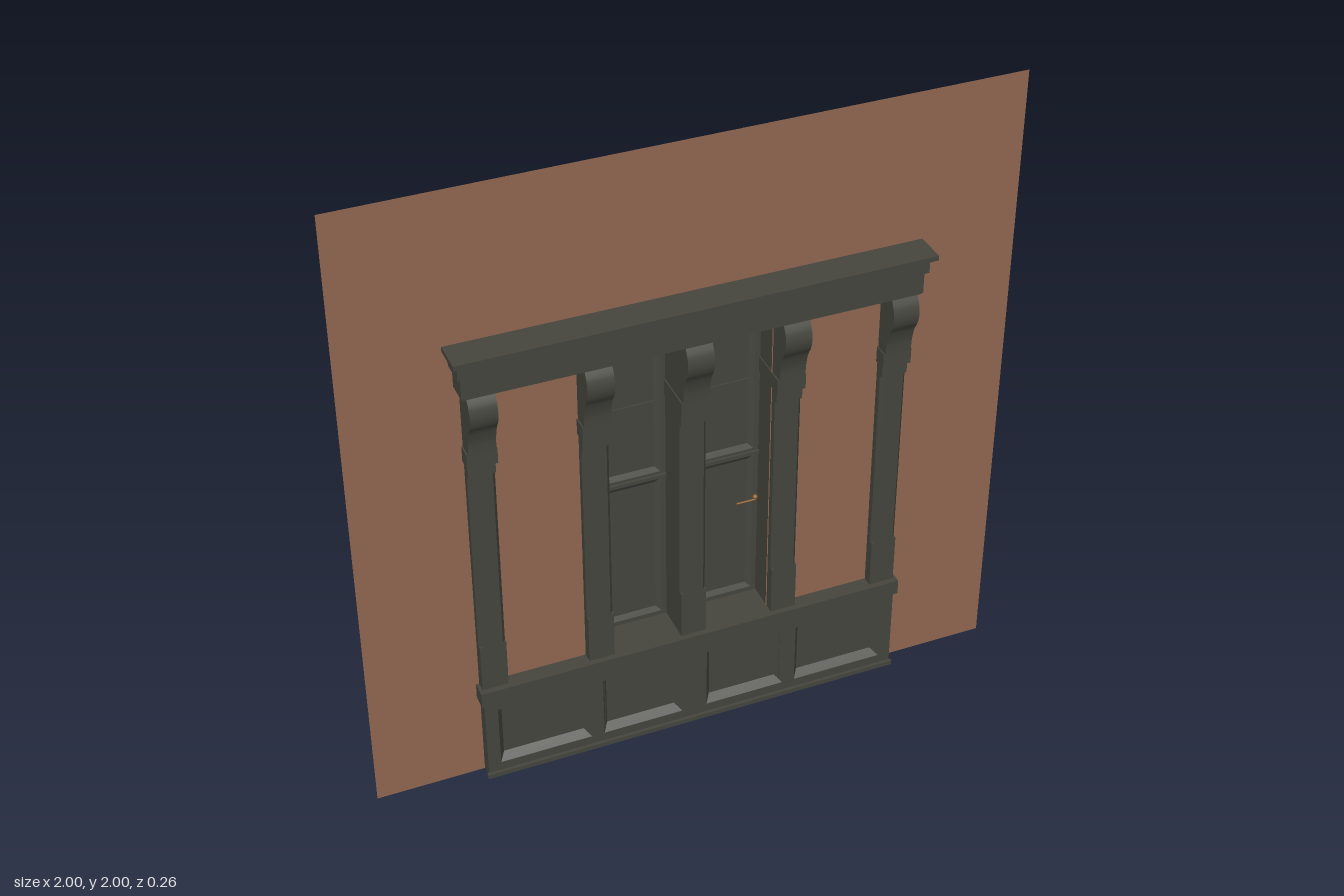
import * as THREE from 'three';

const WALL_Z = 0.03, BACK = -0.127;

export function createModel() {
  const root = new THREE.Group();
  const paint = new THREE.MeshStandardMaterial({ color: 0x46463f, side: THREE.DoubleSide });
  paint.name = 'dark grey paint';
  const brick = new THREE.MeshStandardMaterial({ color: 0x926852, side: THREE.DoubleSide });
  brick.name = 'brown wall';
  const brass = new THREE.MeshStandardMaterial({ color: 0x8f5f30 });
  brass.name = 'brass';

  function add(name, geo, mat = paint, parent = root) {
    const m = new THREE.Mesh(geo, mat);
    m.name = name;
    parent.add(m);
    return m;
  }
  // Box from its limits
  function box(name, x0, x1, y0, y1, z0, z1, parent = root, mat = paint) {
    const m = add(name, new THREE.BoxGeometry(x1 - x0, y1 - y0, z1 - z0), mat, parent);
    m.position.set((x0 + x1) / 2, (y0 + y1) / 2, (z0 + z1) / 2);
    return m;
  }
  const rect = (C, x0, x1, y0, y1) => new C([[x0, y0], [x1, y0], [x1, y1], [x0, y1]]
    .map(p => new THREE.Vector2(p[0], p[1])));
  // Flat board with rectangular openings
  function board(name, r, holes, z, depth, parent = root) {
    const s = rect(THREE.Shape, ...r);
    holes.forEach(h => s.holes.push(rect(THREE.Path, ...h)));
    const m = add(name, new THREE.ExtrudeGeometry(s, { depth, bevelEnabled: false }), paint, parent);
    m.position.z = z;
    return m;
  }
  // Sunk panel: sloped border running back to a flat field
  function sunkPanel(name, [x0, x1, y0, y1], inset, zOut, zIn, parent = root) {
    const ring = (i, z) => [[x0 + i, y0 + i, z], [x1 - i, y0 + i, z], [x1 - i, y1 - i, z], [x0 + i, y1 - i, z]];
    const a = ring(0, zOut), b = ring(inset, zIn), pos = [];
    const quad = (p, q, r, s) => pos.push(...p, ...q, ...r, ...p, ...r, ...s);
    for (let i = 0; i < 4; i++) quad(a[i], a[(i + 1) % 4], b[(i + 1) % 4], b[i]);
    quad(...b);
    const g = new THREE.BufferGeometry();
    g.setAttribute('position', new THREE.Float32BufferAttribute(pos, 3));
    g.computeVertexNormals();
    add(name, g, paint, parent);
  }

  // Wall sheet with the doorway cut out
  const wallShape = rect(THREE.Shape, -1, 1, 0, 2);
  wallShape.holes.push(rect(THREE.Path, -0.25, 0.25, 0.002, 1.4));
  add('wall', new THREE.ShapeGeometry(wallShape), brick).position.z = WALL_Z;

  // Base with four sunk panels
  const base = new THREE.Group();
  base.name = 'base';
  root.add(base);
  const basePanels = [[-0.625, -0.335, 0.045, 0.255], [-0.295, -0.04, 0.045, 0.255],
    [0.04, 0.295, 0.045, 0.255], [0.335, 0.625, 0.045, 0.255]];
  board('baseBoard', [-0.665, 0.665, 0, 0.29], basePanels, 0.05, 0.02, base);
  basePanels.forEach(p => sunkPanel('basePanel', p, 0.018, 0.07, 0.045, base));
  box('bottomPlate', -0.665, 0.665, 0, 0.006, -0.115, 0.07, base);
  box('skirting', -0.67, 0.67, 0, 0.015, 0.07, 0.08, base);
  for (const s of [-1, 1]) {
    box('baseEnd', s * 0.6625 - 0.0025, s * 0.6625 + 0.0025, 0, 0.29, -0.115, 0.06, base);
    box('basePartition', s * 0.29 - 0.004, s * 0.29 + 0.004, 0, 0.29, -0.115, 0.06, base);
  }

  // Sill: front rail, top shelf and end returns, open below at the back
  box('sillRail', -0.675, 0.675, 0.29, 0.34, 0.04, 0.08);
  box('sillShelf', -0.67, 0.67, 0.33, 0.34, BACK, 0.05);
  for (const s of [-1, 1])
    box('sillEnd', s * 0.67 - 0.005, s * 0.67 + 0.005, 0.29, 0.34, BACK, 0.05);

  // Scrolled bracket profile, drawn as (z, y)
  const scroll = new THREE.Shape();
  scroll.moveTo(WALL_Z, 1.2);
  scroll.lineTo(0.078, 1.2);
  scroll.splineThru([[0.081, 1.24], [0.092, 1.28], [0.108, 1.31], [0.114, 1.34], [0.109, 1.37], [0.093, 1.4]]
    .map(p => new THREE.Vector2(p[0], p[1])));
  scroll.lineTo(WALL_Z, 1.4);

  // Pilasters, hollow behind with a thin plate on each side
  for (const x of [-0.625, -0.293, 0, 0.293, 0.625]) {
    const p = new THREE.Group();
    p.name = 'pilaster';
    p.position.x = x;
    root.add(p);
    const w = 0.04, c = 0.01;
    box('shaftFoot', -w, w, 0.34, 0.5, WALL_Z, 0.062, p);
    const section = new THREE.Shape([[-w, -WALL_Z], [-w, -0.05], [c - w, -0.062], [w - c, -0.062], [w, -0.05], [w, -WALL_Z]]
      .map(q => new THREE.Vector2(q[0], q[1])));
    const shaft = add('chamferedShaft', new THREE.ExtrudeGeometry(section, { depth: 0.61, bevelEnabled: false }), paint, p);
    shaft.rotation.x = -Math.PI / 2;
    shaft.position.y = 0.5;
    box('shaftTop', -w, w, 1.11, 1.15, WALL_Z, 0.062, p);
    box('neckBlock', -0.044, 0.044, 1.15, 1.2, WALL_Z, 0.074, p);
    const bracket = add('bracket', new THREE.ExtrudeGeometry(scroll, { depth: 0.08, bevelEnabled: false, curveSegments: 16 }), paint, p);
    bracket.rotation.y = -Math.PI / 2;
    bracket.position.x = w;
    for (const s of [-1, 1]) {
      const e = s * 0.0375;
      box('sidePlate', e - 0.0025, e + 0.0025, 0.34, 1.4, BACK, WALL_Z, p);
      box('neckReturn', e - 0.006, e + 0.006, 1.15, 1.2, BACK, WALL_Z, p);
    }
  }

  // Panelled leaves in all four bays
  function leaf(name, x0, x1) {
    const g = new THREE.Group();
    g.name = name;
    root.add(g);
    const m = 0.016, z = -0.075, d = 0.02;
    const lower = [x0 + m, x1 - m, 0.355, 0.855], upper = [x0 + m, x1 - m, 0.88, 1.38];
    board('leafFrame', [x0, x1, 0.34, 1.4], [lower, upper], z, d, g);
    for (const r of [lower, upper]) {
      sunkPanel('frontPanel', r, 0.016, z + d, z + 0.011, g);
      sunkPanel('backPanel', r, 0.016, z, z + 0.008, g);
    }
    for (const f of [z + 0.011, z + 0.004])
      box('paneBar', x0 + 0.032, x1 - 0.032, 1.124, 1.129, f, f + 0.004, g);
    box('lockRail', x0, x1, 0.86, 0.872, z - 0.01, z + d + 0.008, g);
  }
  for (const s of [-1, 1]) {
    const span = (a, b) => (s > 0 ? [a, b] : [-b, -a]);
    leaf('door', ...span(0.04, 0.253));
    leaf('sidelight', ...span(0.333, 0.585));
  }

  // Door lever
  const lever = add('doorLever', new THREE.CylinderGeometry(0.003, 0.003, 0.06, 8), brass);
  lever.rotation.z = Math.PI / 2;
  lever.position.set(0.21, 0.7, -0.04);
  const knob = add('doorKnob', new THREE.SphereGeometry(0.008, 12, 8), brass);
  knob.position.set(0.242, 0.705, -0.045);

  // Entablature: fascia, band and cap, open at the back
  const top = new THREE.Group();
  top.name = 'entablature';
  root.add(top);
  box('fascia', -0.68, 0.68, 1.4, 1.47, 0.05, 0.1, top);
  box('band', -0.69, 0.69, 1.47, 1.518, 0.05, 0.11, top);
  box('cap', -0.705, 0.705, 1.518, 1.533, BACK, 0.13, top);
  box('soffit', -0.675, 0.675, 1.398, 1.404, -0.08, 0.1, top);
  for (const s of [-1, 1]) {
    box('fasciaEnd', s * 0.6775 - 0.0025, s * 0.6775 + 0.0025, 1.4, 1.47, BACK, 0.06, top);
    box('bandEnd', s * 0.685 - 0.005, s * 0.685 + 0.005, 1.47, 1.518, BACK, 0.06, top);
    for (const x of [0.253, 0.333])
      box('topPartition', s * x - 0.0025, s * x + 0.0025, 1.4, 1.52, BACK, 0.06, top);
  }
  return root;
}
